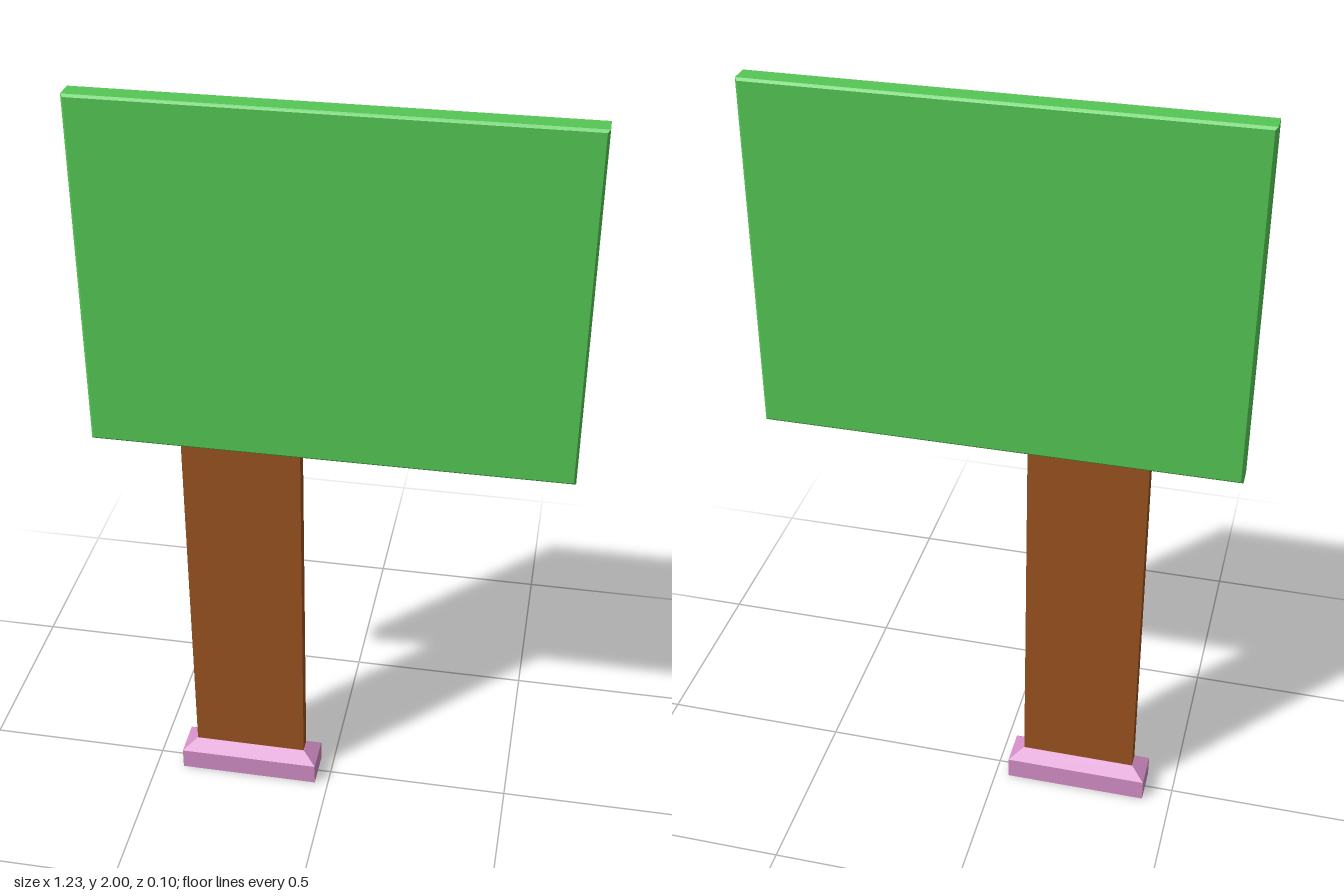
import * as THREE from 'three';

const POST_X = -0.23;

function material(color) {
  return new THREE.MeshStandardMaterial({ color, flatShading: true });
}

function addPart(group, name, geometry, color, x, y) {
  const mesh = new THREE.Mesh(geometry, material(color));
  mesh.name = name;
  mesh.position.set(x, y, 0);
  group.add(mesh);
}

// Box centred on the origin with all its edges chamfered
function chamferedBox(w, h, d, bevel) {
  const x = w / 2 - bevel, y = h / 2 - bevel;
  const shape = new THREE.Shape([[-x, -y], [x, -y], [x, y], [-x, y]].map(p => new THREE.Vector2(...p)));
  const geometry = new THREE.ExtrudeGeometry(shape, {
    depth: d - 2 * bevel, bevelEnabled: true, bevelThickness: bevel, bevelSize: bevel, bevelSegments: 1,
  });
  return geometry.translate(0, 0, bevel - d / 2);
}

// Block with straight lower sides and a top that slopes in to the post
function plinth(w, h, d, shoulder, topW, topD) {
  const geometry = new THREE.BoxGeometry(w, h, d, 1, 2, 1).translate(0, h / 2, 0);
  const p = geometry.attributes.position;
  for (let i = 0; i < p.count; i++) {
    const y = p.getY(i);
    if (y > h * 0.75) p.setXYZ(i, Math.sign(p.getX(i)) * topW / 2, h, Math.sign(p.getZ(i)) * topD / 2);
    else if (y > h * 0.25) p.setY(i, shoulder);
  }
  geometry.computeVertexNormals();
  return geometry;
}

export function createModel() {
  const group = new THREE.Group();
  group.name = 'signboard';

  addPart(group, 'base', plinth(0.386, 0.088, 0.103, 0.06, 0.312, 0.04), 0xd48fc8, POST_X, 0);
  addPart(group, 'post', new THREE.BoxGeometry(0.31, 1.04, 0.038), 0x9c5420, POST_X, 0.6);
  addPart(group, 'board', chamferedBox(1.234, 0.916, 0.063, 0.006), 0x55c855, 0, 1.542);
  return group;
}
